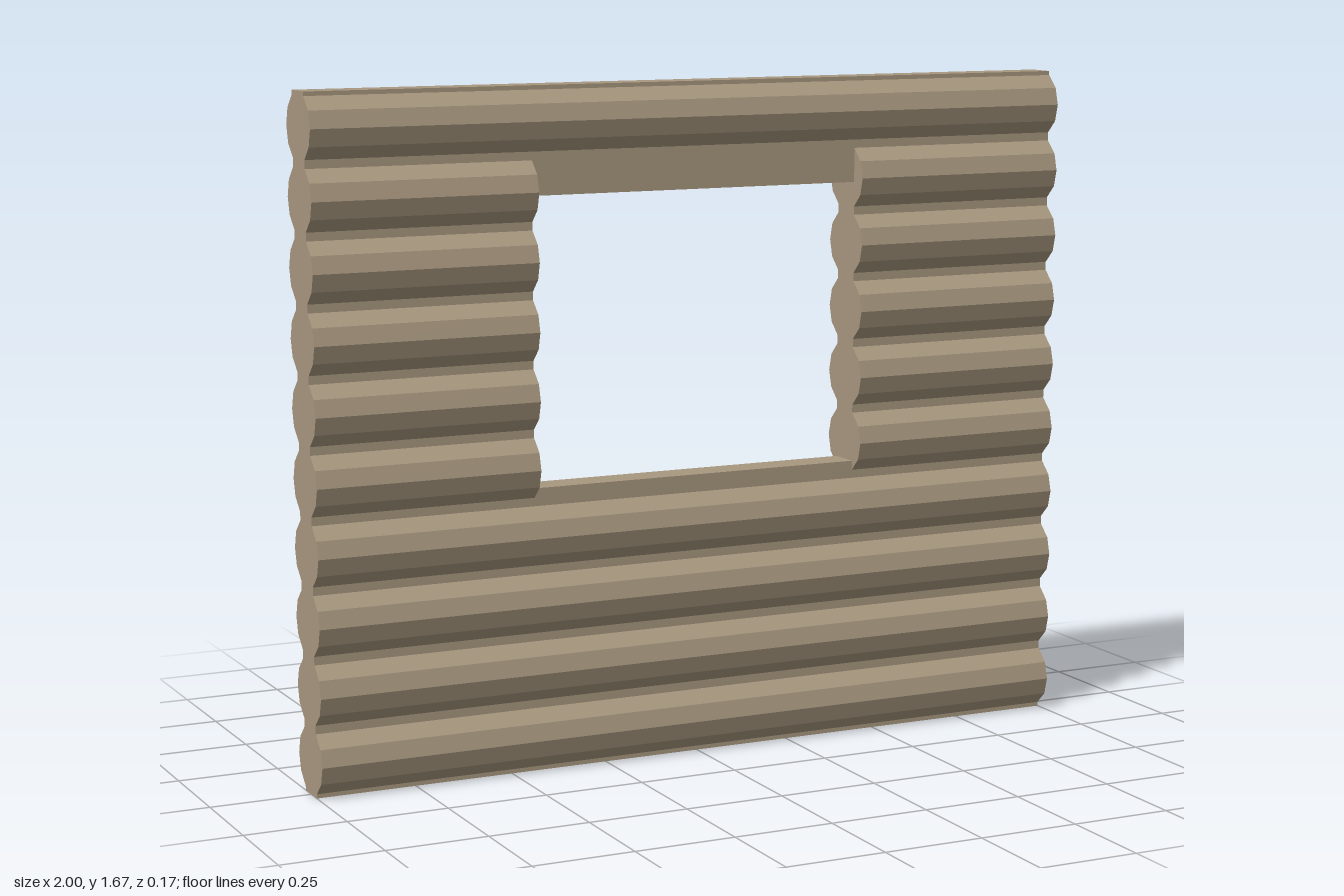
import * as THREE from 'three';

const PITCH = 1 / 6;          // height of one log
const R = PITCH / 2;          // log radius
const CORE = 0.04;            // half thickness of the flat core between logs
const OPEN = 0.435;           // half width of the window opening

const material = new THREE.MeshStandardMaterial({ color: 0xa8977f, flatShading: true });

// Stack of twelve-sided logs joined by flat necks, running from x0 to x1.
function logStack(name, first, count, x0, x1) {
  const side = [];
  for (let i = first; i < first + count; i++) {
    const base = i * PITCH, mid = base + R;
    side.push([CORE, base], [CORE, mid - 0.073], [0.072, mid - 0.042], [R, mid],
      [0.072, mid + 0.042], [CORE, mid + 0.073]);
  }
  side.push([CORE, (first + count) * PITCH]);
  const outline = [...side, ...side.map(([z, y]) => [-z, y]).reverse()];
  const shape = new THREE.Shape(outline.map(([z, y]) => new THREE.Vector2(z, y)));
  const geometry = new THREE.ExtrudeGeometry(shape, { depth: x1 - x0, bevelEnabled: false });
  geometry.rotateY(Math.PI / 2).translate(x0, 0, 0);
  const mesh = new THREE.Mesh(geometry, material);
  mesh.name = name;
  return mesh;
}

// Flat board of the wall core that edges the opening.
function coreBoard(name, y0, y1) {
  const mesh = new THREE.Mesh(new THREE.BoxGeometry(OPEN * 2, y1 - y0, CORE * 2), material);
  mesh.position.y = (y0 + y1) / 2;
  mesh.name = name;
  return mesh;
}

export function createModel() {
  const wall = new THREE.Group();
  wall.name = 'logWallWithWindow';
  wall.add(
    // Full-width logs below and above the window
    logStack('lowerLogs', 0, 4, -1, 1),
    logStack('topLog', 9, 1, -1, 1),
    // Short logs either side of the window
    logStack('rightLogs', 4, 5, -1, -OPEN),
    logStack('leftLogs', 4, 5, OPEN, 1),
    // Opening edges
    coreBoard('sill', 4 * PITCH, 0.7),
    coreBoard('lintel', 1.405, 9 * PITCH),
  );
  return wall;
}
